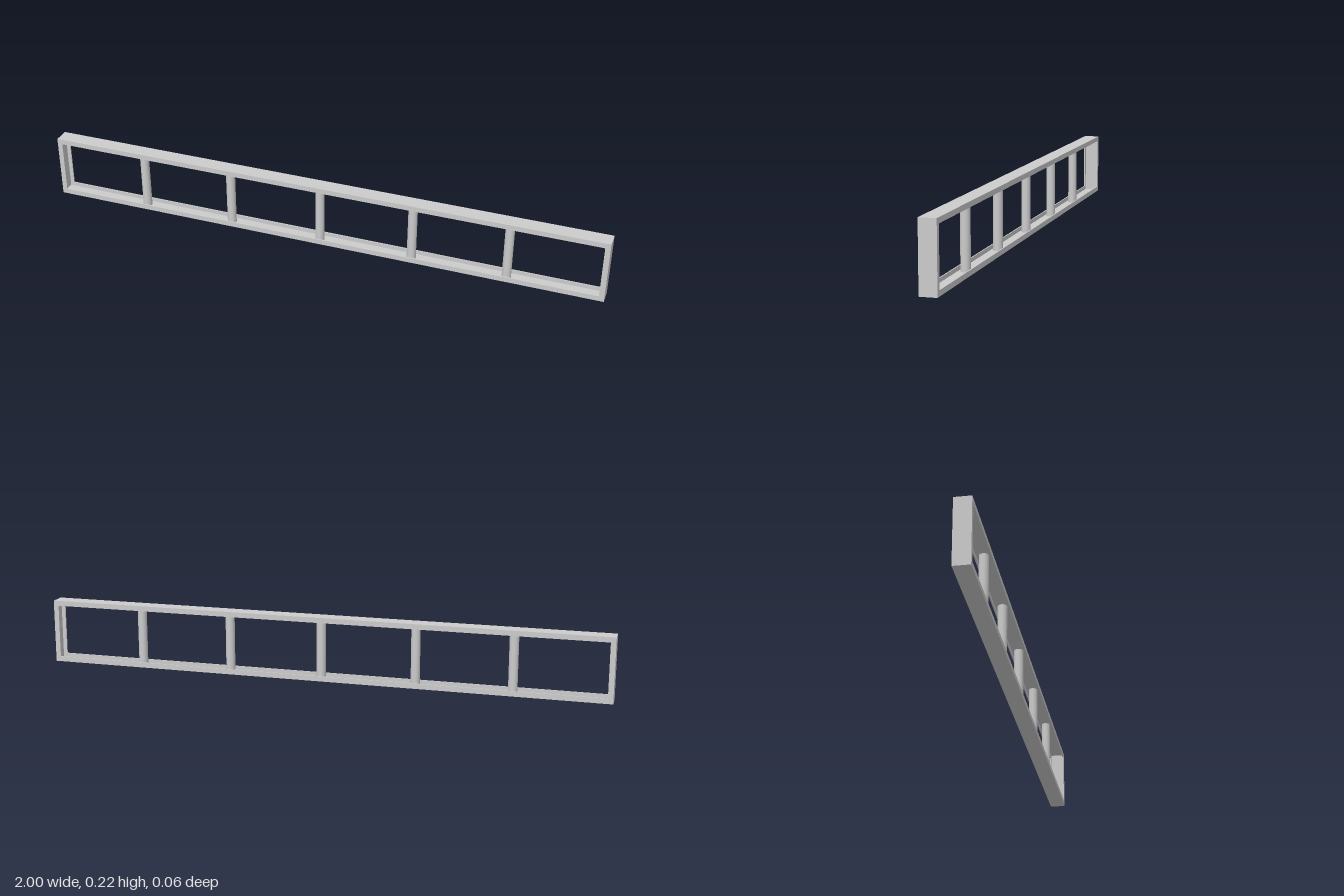
import * as THREE from 'three';

const W = 2, H = 0.225, D = 0.056; // overall size
const T = 0.004;                   // wall thickness of the channel
const LIP = 0.018;                 // height of the channel's lips
const material = new THREE.MeshStandardMaterial({ color: 0xcccccc });

// Rectangular ring of the given border, extruded along z and centred on z
function ring(name, border, depth, z) {
  const shape = new THREE.Shape();
  shape.moveTo(-W / 2, 0).lineTo(W / 2, 0).lineTo(W / 2, H).lineTo(-W / 2, H).closePath();
  const x = W / 2 - border;
  const hole = new THREE.Path();
  hole.moveTo(-x, border).lineTo(-x, H - border).lineTo(x, H - border).lineTo(x, border).closePath();
  shape.holes.push(hole);
  const geometry = new THREE.ExtrudeGeometry(shape, { depth, bevelEnabled: false });
  geometry.translate(0, 0, z - depth / 2);
  const mesh = new THREE.Mesh(geometry, material);
  mesh.name = name;
  return mesh;
}

export function createModel() {
  const group = new THREE.Group();
  group.name = 'channelFrame';

  // Outer frame: a channel open towards the inside
  group.add(ring('frameWeb', T, D - 2 * T, 0));
  group.add(ring('frontLip', LIP, T, D / 2 - T / 2));
  group.add(ring('backLip', LIP, T, -D / 2 + T / 2));

  // Five evenly spaced round uprights standing in the channel
  const upright = new THREE.CylinderGeometry(0.016, 0.016, H - 2 * T, 16, 1, true);
  for (let i = -2; i <= 2; i++) {
    const post = new THREE.Mesh(upright, material);
    post.name = 'upright';
    post.position.set(i / 3, H / 2, 0);
    group.add(post);
  }
  return group;
}
